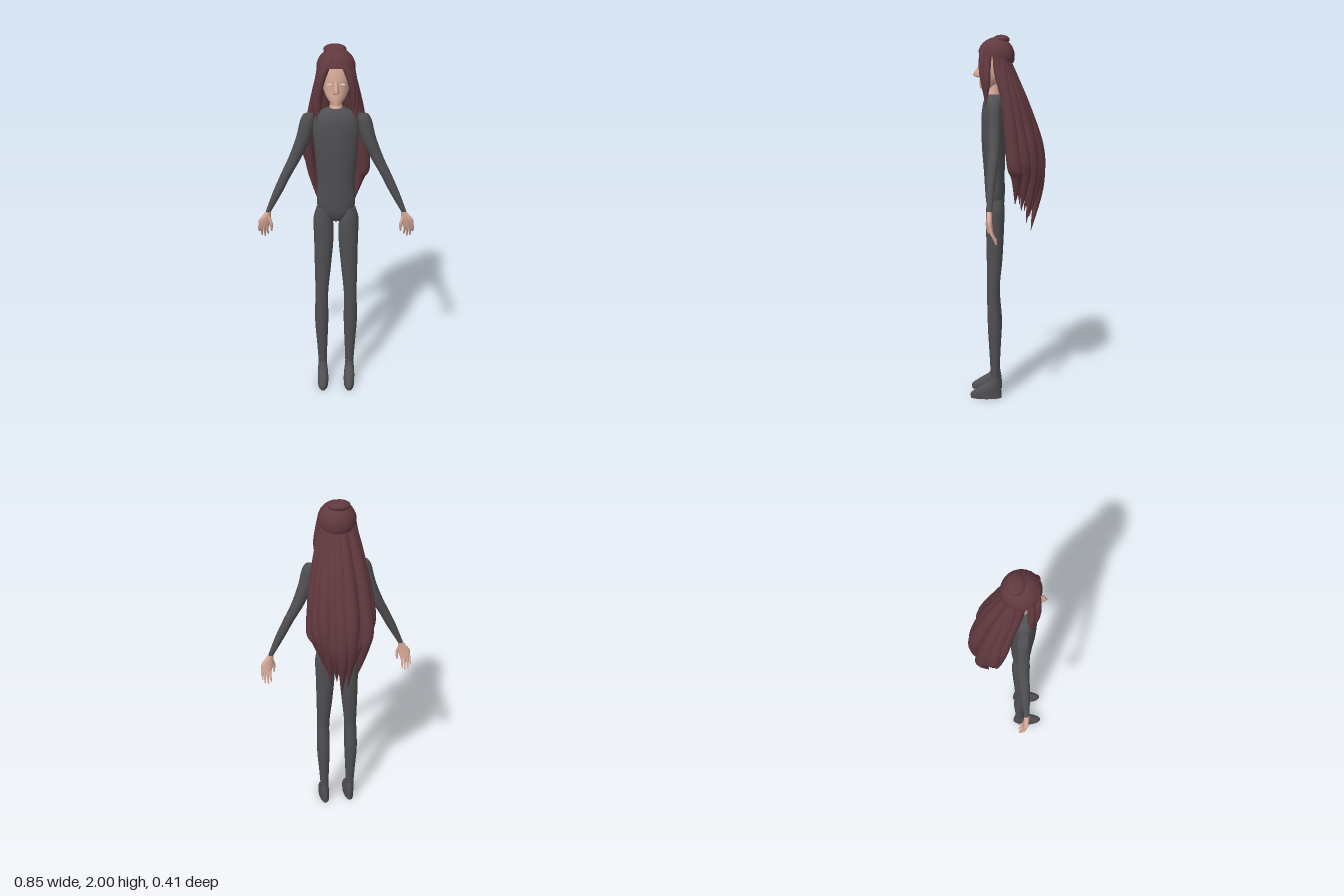
import * as THREE from 'three';

const mat = (name, color, side = THREE.FrontSide) => {
  const m = new THREE.MeshStandardMaterial({ color, side });
  m.name = name;
  return m;
};

// Catmull-Rom interpolation between ring values
const spline = (a, b, c, d, t) =>
  0.5 * (2 * b + (c - a) * t + (2 * a - 5 * b + 4 * c - d) * t * t + (3 * b - a - 3 * c + d) * t ** 3);

// Closed body through horizontal ellipses [x, y, z, radiusX, radiusZ], listed top to bottom
function loft(keys, sides = 20, steps = 5) {
  const rings = [];
  const last = keys.length - 1;
  for (let k = 0; k < last; k++) {
    for (let s = 0; s < steps; s++) {
      rings.push(keys[k].map((v, i) => {
        const p = spline(keys[Math.max(k - 1, 0)][i], v, keys[k + 1][i], keys[Math.min(k + 2, last)][i], s / steps);
        return i > 2 ? Math.max(p, 0.0005) : p;
      }));
    }
  }
  rings.push(keys[last]);
  // Collapsed rings and doubled edges make flat, crisp end caps
  const cap = r => [r[0], r[1], r[2], 0, 0];
  const all = [cap(rings[0]), rings[0], ...rings, rings[rings.length - 1], cap(rings[rings.length - 1])];
  const pos = [], index = [];
  all.forEach(([x, y, z, rx, rz], j) => {
    for (let i = 0; i < sides; i++) {
      const a = (i / sides) * Math.PI * 2;
      pos.push(x + Math.cos(a) * rx, y, z + Math.sin(a) * rz);
      if (j < all.length - 1) {
        const p = j * sides + i, p1 = j * sides + (i + 1) % sides;
        index.push(p, p1, p + sides, p1, p1 + sides, p + sides);
      }
    }
  });
  const g = new THREE.BufferGeometry();
  g.setAttribute('position', new THREE.Float32BufferAttribute(pos, 3));
  g.setIndex(index);
  g.computeVertexNormals();
  return g;
}

export function createModel() {
  const suit = mat('charcoal suit', 0x505053);
  const skin = mat('skin', 0xd9ab9a);
  const hair = mat('dark auburn hair', 0x61393f, THREE.DoubleSide);
  const eyeWhite = mat('pale eyes', 0xe3d3c8);

  const model = new THREE.Group();
  model.name = 'longHairedFigure';
  const add = (name, geometry, material, parent = model) => {
    const m = new THREE.Mesh(geometry, material);
    m.name = name;
    parent.add(m);
    return m;
  };

  // Torso
  add('torso', loft([
    [0, 1.685, 0.075, 0.036, 0.036], [0, 1.66, 0.076, 0.085, 0.05], [0, 1.62, 0.077, 0.115, 0.06],
    [0, 1.54, 0.077, 0.12, 0.067], [0, 1.4, 0.077, 0.108, 0.064], [0, 1.27, 0.074, 0.099, 0.057],
    [0, 1.14, 0.07, 0.102, 0.053], [0, 1.085, 0.069, 0.075, 0.047], [0, 1.045, 0.069, 0.03, 0.03],
  ], 28), suit);

  // Neck, head and nose
  add('neck', loft([[0, 1.8, 0.065, 0.036, 0.034], [0, 1.73, 0.071, 0.03, 0.028], [0, 1.675, 0.078, 0.034, 0.036]]), skin);
  add('head', loft([
    [0, 1.965, 0.062, 0.03, 0.03], [0, 1.93, 0.062, 0.068, 0.07], [0, 1.86, 0.064, 0.077, 0.085],
    [0, 1.8, 0.071, 0.07, 0.078], [0, 1.75, 0.094, 0.051, 0.058], [0, 1.715, 0.122, 0.024, 0.028],
  ], 24), skin);
  add('nose', loft([
    [0, 1.845, 0.143, 0.006, 0.008], [0, 1.79, 0.15, 0.016, 0.037], [0, 1.775, 0.145, 0.013, 0.014],
  ], 8, 3), skin);

  // Skull cap of hair, tilted back to leave the face open, with a flat bun
  const cap = add('hairCap', new THREE.SphereGeometry(0.099, 32, 16, 0, Math.PI * 2, 0, Math.PI * 0.53), hair);
  cap.position.set(0, 1.888, 0.062);
  cap.rotation.x = -0.3;
  const bun = add('hairBun', new THREE.SphereGeometry(1, 24, 14), hair);
  bun.scale.set(0.058, 0.025, 0.046);
  bun.position.set(-0.006, 1.975, 0.036);

  // Long back locks: [x, z at the widest point, tip height, width]
  const locks = new THREE.Group();
  locks.name = 'longHair';
  model.add(locks);
  [
    [-0.145, -0.075, 1.1, 0.037], [-0.122, -0.125, 1.04, 0.04], [-0.075, -0.12, 1.07, 0.04],
    [-0.035, -0.158, 0.98, 0.044], [0.012, -0.155, 0.94, 0.042], [0.05, -0.138, 1.02, 0.042],
    [0.092, -0.118, 0.99, 0.042], [0.122, -0.08, 1.06, 0.042], [0.148, -0.035, 1.1, 0.036],
    [0, -0.105, 1.05, 0.05],
  ].forEach(([x, z, tip, w], i) => {
    const h = 1.4 - (i % 3) * 0.04;
    add('backLock', loft([
      [x * 0.42, 1.9, 0.04 + z * 0.12, 0.022, 0.022],
      [x * 0.58, 1.78, 0.04 + z * 0.42, 0.032, 0.03],
      [x * 0.82, 1.6, 0.02 + z * 0.75, w * 0.93, 0.034],
      [x, h, z, w, 0.04],
      [x * 0.88, (h + tip) / 2 + 0.03, z * 0.98 - 0.015, w * 0.7, 0.029],
      [x * 0.66, tip, z * 0.72 - 0.015, 0.001, 0.001],
    ], 14), hair, locks);
  });

  for (const s of [1, -1]) {
    const side = s > 0 ? 'left' : 'right';
    // Mirror the listed rings onto this side
    const part = (name, keys, material, sides) =>
      add(side + name, loft(keys.map(([x, ...r]) => [x * s, ...r]), sides), material);

    const eye = add(side + 'Eye', new THREE.SphereGeometry(1, 12, 8), eyeWhite);
    eye.scale.set(0.016, 0.006, 0.004);
    eye.position.set(0.031 * s, 1.822, 0.143);

    // Locks that frame the face
    part('FringeLock', [
      [0.02, 1.945, 0.128, 0.014, 0.016], [0.058, 1.89, 0.132, 0.022, 0.02], [0.08, 1.81, 0.134, 0.017, 0.018],
      [0.088, 1.74, 0.128, 0.012, 0.012], [0.084, 1.66, 0.122, 0.001, 0.001],
    ], hair, 12);
    part('TempleLock', [
      [0.065, 1.92, 0.1, 0.02, 0.02], [0.086, 1.84, 0.108, 0.016, 0.02], [0.1, 1.74, 0.108, 0.016, 0.016],
      [0.096, 1.62, 0.118, 0.001, 0.001],
    ], hair, 12);
    part('SideLock', [
      [0.072, 1.9, 0.055, 0.022, 0.025], [0.088, 1.8, 0.045, 0.024, 0.026], [0.115, 1.66, 0.008, 0.026, 0.026],
      [0.145, 1.5, -0.025, 0.028, 0.026], [0.138, 1.3, -0.055, 0.022, 0.02], [0.1, 1.1, -0.065, 0.001, 0.001],
    ], hair, 12);

    // Arm
    part('Arm', [
      [0.142, 1.643, 0.07, 0.026, 0.026], [0.148, 1.61, 0.07, 0.037, 0.034], [0.168, 1.52, 0.07, 0.039, 0.035],
      [0.213, 1.41, 0.07, 0.034, 0.031], [0.262, 1.315, 0.077, 0.029, 0.027],
      [0.312, 1.21, 0.084, 0.025, 0.022], [0.364, 1.1, 0.088, 0.014, 0.014],
    ], suit);

    // Hand with four fingers and a thumb
    part('Palm', [
      [0.36, 1.11, 0.088, 0.012, 0.012], [0.372, 1.08, 0.089, 0.021, 0.014],
      [0.386, 1.045, 0.086, 0.033, 0.013], [0.392, 1.005, 0.078, 0.028, 0.01],
    ], skin, 14);
    [[0.413, 0.418, 0.965], [0.4, 0.405, 0.94], [0.387, 0.388, 0.935], [0.373, 0.372, 0.948]].forEach(([x, tx, ty]) =>
      part('Finger', [
        [x, 1.025, 0.083, 0.008, 0.008], [(x + tx) / 2 + 0.002, 0.985, 0.072, 0.007, 0.007],
        [tx, ty, 0.052, 0.004, 0.005],
      ], skin, 8));
    part('Thumb', [
      [0.364, 1.075, 0.092, 0.009, 0.01], [0.35, 1.03, 0.099, 0.009, 0.009], [0.35, 0.985, 0.092, 0.004, 0.005],
    ], skin, 8);

    // Leg and pointed foot
    part('Leg', [
      [0.074, 1.12, 0.069, 0.03, 0.042], [0.07, 1.05, 0.069, 0.052, 0.049], [0.067, 0.93, 0.07, 0.053, 0.047],
      [0.073, 0.76, 0.073, 0.045, 0.041], [0.08, 0.59, 0.08, 0.036, 0.033], [0.082, 0.41, 0.072, 0.038, 0.037],
      [0.08, 0.25, 0.071, 0.03, 0.029], [0.078, 0.11, 0.071, 0.023, 0.022],
    ], suit);
    part('Foot', [
      [0.078, 0.14, 0.071, 0.022, 0.021], [0.078, 0.095, 0.075, 0.026, 0.033], [0.077, 0.06, 0.1, 0.03, 0.063],
      [0.076, 0.03, 0.12, 0.031, 0.085], [0.076, 0, 0.12, 0.03, 0.085],
    ], suit);
  }
  return model;
}
